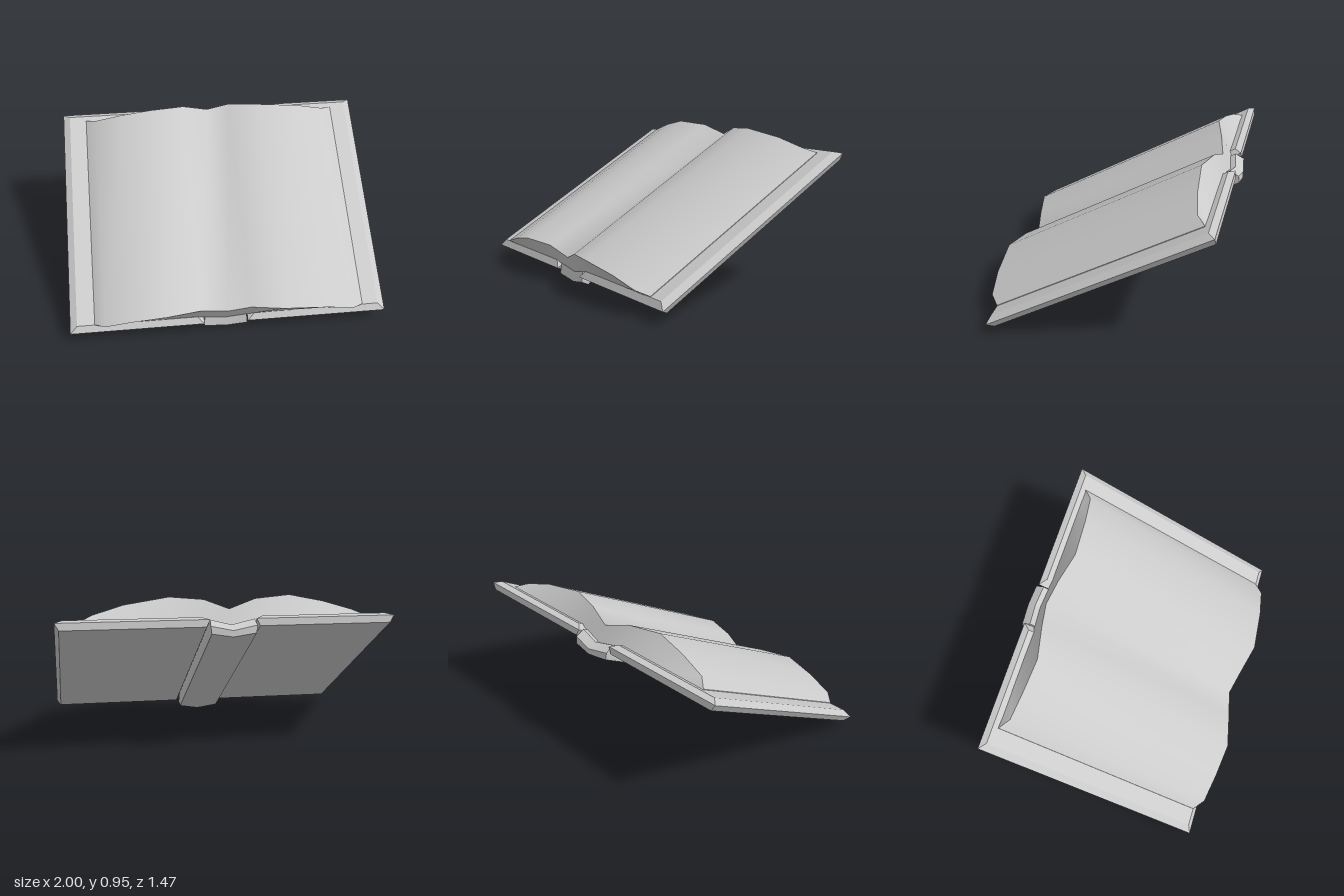
import * as THREE from 'three';
import { toCreasedNormals } from 'three/addons/utils/BufferGeometryUtils.js';

const material = new THREE.MeshStandardMaterial({ color: 0xcccccc });

// Lofts a solid through columns ordered by x. Each column lists its levels
// from top to bottom as [x, y, zFront, zBack].
function loft(name, columns, crease) {
  const pos = [];
  const front = (c, l) => [c[l][0], c[l][1], c[l][2]];
  const back = (c, l) => [c[l][0], c[l][1], c[l][3]];
  const quad = (a, b, c, d) => pos.push(...a, ...b, ...c, ...a, ...c, ...d);
  const last = columns[0].length - 1;

  for (let i = 0; i < columns.length - 1; i++) {
    const p = columns[i], q = columns[i + 1];
    quad(front(p, 0), front(q, 0), back(q, 0), back(p, 0));
    quad(back(p, last), back(q, last), front(q, last), front(p, last));
    for (let l = 0; l < last; l++) {
      quad(front(p, l + 1), front(q, l + 1), front(q, l), front(p, l));
      quad(back(p, l), back(q, l), back(q, l + 1), back(p, l + 1));
    }
  }
  // end caps
  const s = columns[0], e = columns[columns.length - 1];
  for (let l = 0; l < last; l++) {
    quad(front(e, l + 1), back(e, l + 1), back(e, l), front(e, l));
    quad(front(s, l), back(s, l), back(s, l + 1), front(s, l + 1));
  }
  const geometry = new THREE.BufferGeometry();
  geometry.setAttribute('position', new THREE.Float32BufferAttribute(pos, 3));
  const mesh = new THREE.Mesh(toCreasedNormals(geometry, crease), material);
  mesh.name = name;
  return mesh;
}

// Front and back ends of the bevelled boards: top, widest and bottom level
const ENDS = [[0.495, -0.983], [0.535, -1.015], [0.505, -0.998]];
const boardColumn = (xs, ys) => ENDS.map((e, l) => [xs[l], ys[l], ...e]);

export function createModel() {
  const book = new THREE.Group();
  book.name = 'openBook';

  // cover boards, bevelled all round
  const boardY = [0.42, 0.392, 0.352];
  const outer = [0.955, 1, 0.975];
  book.add(loft('leftCover', [
    boardColumn([0.16, 0.115, 0.135], boardY),
    boardColumn(outer, boardY),
  ], 0.45));
  book.add(loft('rightCover', [
    boardColumn(outer.map((x) => -x), boardY),
    boardColumn([-0.2, -0.16, -0.18], boardY),
  ], 0.45));

  // spine, bowed down in the middle
  const spineEnd = [0.403, 0.35, 0.308];
  book.add(loft('spine', [
    boardColumn([-0.155, -0.16, -0.155], spineEnd),
    boardColumn([-0.015, -0.015, -0.015], [0.369, 0.32, 0.287]),
    boardColumn([0.11, 0.115, 0.11], spineEnd),
  ], 0.45));

  // page block: [x, top, bottom, lean of the fanned upper edge]
  const profile = [
    [-0.845, 0.424, 0.415, 0],
    [-0.78, 0.475, 0.415, 0.035],
    [-0.6, 0.535, 0.415, 0.035],
    [-0.4, 0.58, 0.415, 0.035],
    [-0.18, 0.545, 0.405, 0],
    [-0.015, 0.481, 0.365, -0.004],
    [0.13, 0.545, 0.405, 0],
    [0.33, 0.58, 0.415, 0.035],
    [0.6, 0.535, 0.415, 0.035],
    [0.785, 0.475, 0.415, 0.035],
    [0.855, 0.424, 0.415, 0],
  ];
  book.add(loft('pages', profile.map(([x, top, bottom, lean]) => [
    [x, top, 0.494 + lean, -0.948 + lean],
    [x, bottom, 0.494, -0.948],
  ]), 0.9));

  // the whole book leans back, its far edge raised
  book.rotation.x = THREE.MathUtils.degToRad(29.5);
  const model = new THREE.Group();
  model.name = 'book';
  model.add(book);
  return model;
}
